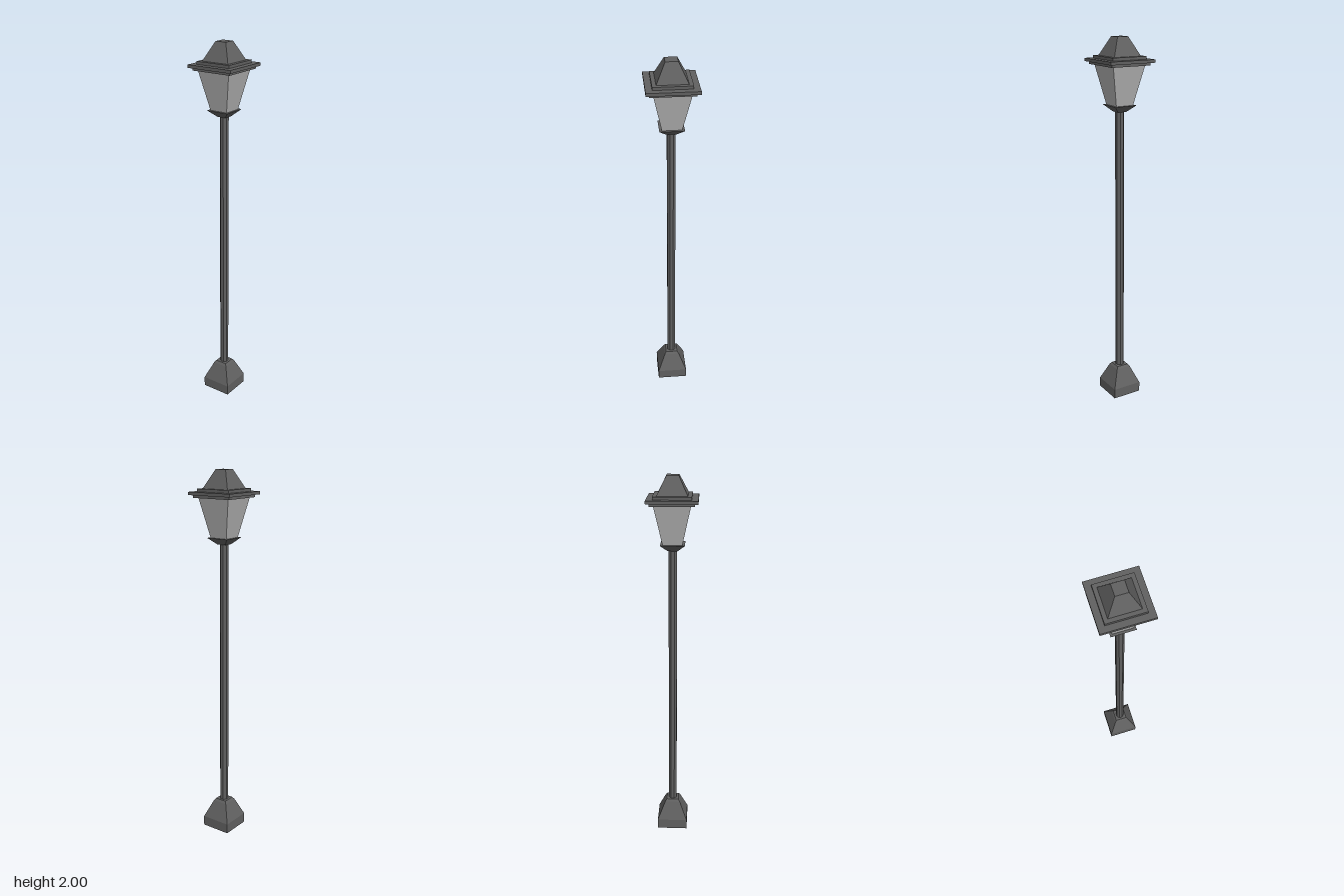
import * as THREE from 'three';

export function createModel() {
  const model = new THREE.Group();
  const iron = new THREE.MeshStandardMaterial({ color: 0x606060 });
  iron.name = 'dark iron';
  const glass = new THREE.MeshStandardMaterial({ color: 0xb4b4b4 });
  glass.name = 'frosted glass';

  // Square frustum between heights y0 and y1 with the given half widths
  function frustum(name, y0, y1, half0, half1, material = iron) {
    const r = Math.SQRT2;
    const geo = new THREE.CylinderGeometry(half1 * r, half0 * r, y1 - y0, 4).toNonIndexed();
    geo.rotateY(Math.PI / 4);
    geo.translate(0, (y0 + y1) / 2, 0);
    geo.computeVertexNormals();
    const mesh = new THREE.Mesh(geo, material);
    mesh.name = name;
    model.add(mesh);
  }

  // Foot
  frustum('footPlinth', 0, 0.055, 0.083, 0.083);
  frustum('footTaper', 0.055, 0.152, 0.083, 0.042);
  frustum('footShoulder', 0.152, 0.165, 0.042, 0.033);

  // Eight-sided post
  const postGeo = new THREE.CylinderGeometry(0.0235, 0.0235, 1.47, 8).toNonIndexed();
  postGeo.rotateY(Math.PI / 8);
  postGeo.translate(0, 0.895, 0);
  postGeo.computeVertexNormals();
  const post = new THREE.Mesh(postGeo, iron);
  post.name = 'post';
  model.add(post);

  // Lantern: cup, tapered glass, stepped roof and cap
  frustum('lanternCup', 1.622, 1.657, 0.025, 0.063);
  frustum('lanternGlass', 1.657, 1.862, 0.05, 0.094, glass);
  frustum('roofLowerStep', 1.86, 1.874, 0.113, 0.113);
  frustum('roofBrim', 1.874, 1.89, 0.13, 0.13);
  frustum('roofUpperStep', 1.89, 1.905, 0.098, 0.098);
  frustum('roofCap', 1.905, 2, 0.078, 0.031);

  return model;
}
